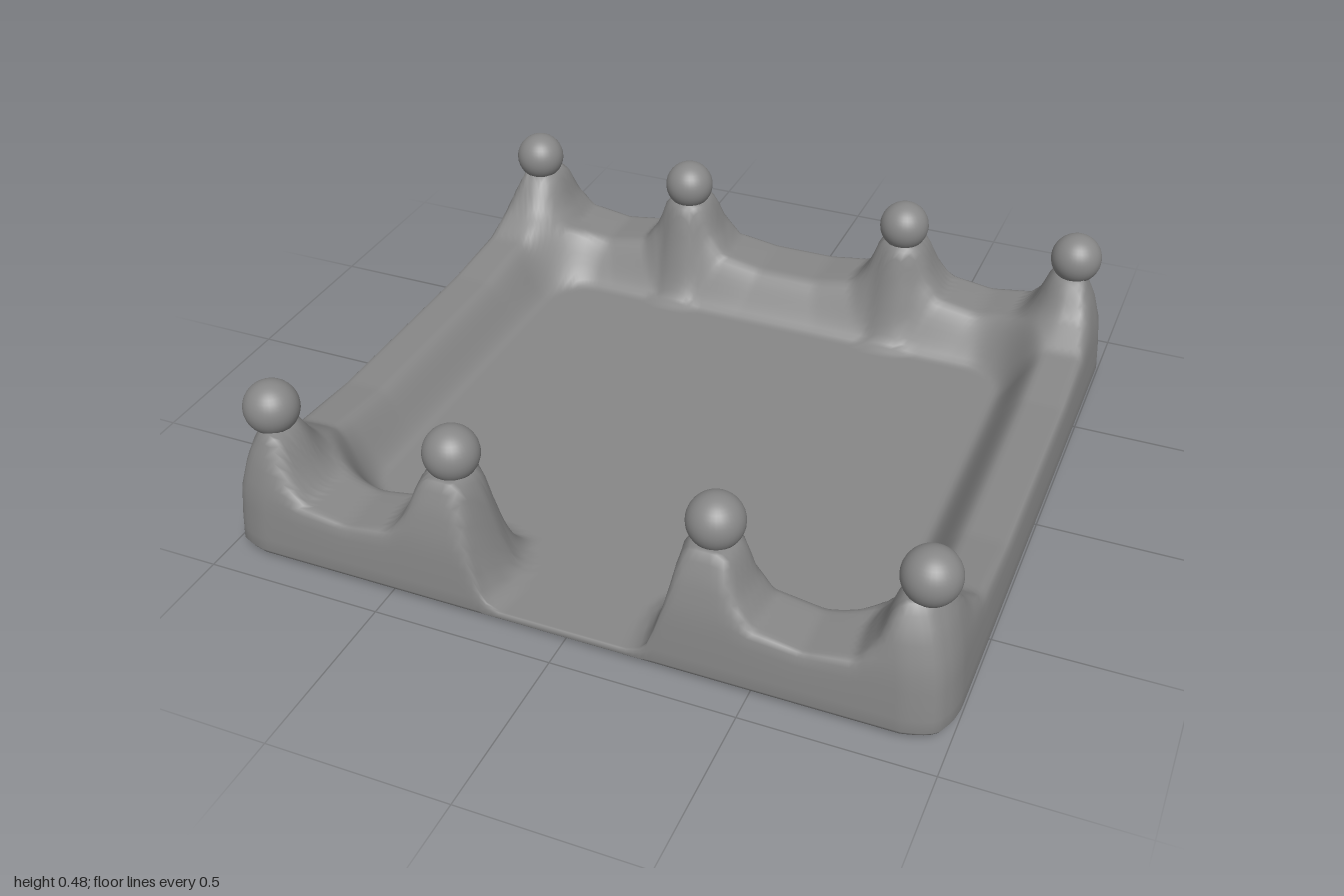
import * as THREE from 'three';

const material = new THREE.MeshStandardMaterial({ color: 0x878787 });
const HALF_X = 1, HALF_Z = 0.925, FLOOR = 0.04;
const POST_X = [-0.895, -0.36, 0.36, 0.895], POST_Z = 0.785;

// Piecewise linear profile: points are [distance, height]
function profile(points, t) {
  if (t <= points[0][0]) return points[0][1];
  for (let i = 1; i < points.length; i++) {
    const [a, ya] = points[i - 1], [b, yb] = points[i];
    if (t <= b) return ya + (yb - ya) * (t - a) / (b - a);
  }
  return points[points.length - 1][1];
}

// Minimum of two heights with a rounded transition
function softMin(a, b, k) {
  const h = Math.max(k - Math.abs(a - b), 0) / k;
  return Math.min(a, b) - h * h * k / 4;
}

// Outer face, wall crest beside a post, crest along a side wall, and a post's inner face
const OUTER = [[0, 0.03], [0.004, 0.1], [0.012, 0.19], [0.03, 0.27], [0.055, 0.345], [0.09, 0.6]];
const CREST = [[0.05, 0.36], [0.075, 0.335], [0.1, 0.26], [0.145, 0.195], [0.27, 0.172]];
const SIDE_CREST = [[0.05, 0.36], [0.075, 0.335], [0.12, 0.265], [0.22, 0.197], [0.46, 0.172]];
const POST = [[0.05, 0.36], [0.075, 0.335], [0.09, 0.26], [0.125, 0.12], [0.15, 0.06], [0.19, FLOOR]];

// How much a point belongs to the wall: 0 on the floor, 1 on the wall
function wallAmount(x, z) {
  const ax = Math.abs(x), az = Math.abs(z), r = 0.17;
  const qx = ax - (0.8 - r), qz = az - (0.67 - r);
  const d = Math.hypot(Math.max(qx, 0), Math.max(qz, 0)) + Math.min(Math.max(qx, qz), 0) - r;
  const wall = THREE.MathUtils.smoothstep(d, -0.055, 0.075);
  // Entrance gap in the front wall
  return z > 0 ? wall * THREE.MathUtils.smoothstep(ax, 0.2, 0.3) : wall;
}

// Height of the upper surface at a point lying d inside the outer edge
function topHeight(x, z, d) {
  let crest = 0.172, post = FLOOR;
  for (const px of POST_X) {
    const corner = Math.abs(px) > 0.5;
    let dx = (x - px) * Math.sign(px), dz = Math.abs(z) - POST_Z;
    // Posts spread out to the edge
    if (corner && dx > 0) dx *= 0.5;
    if (dz > 0) dz *= 0.5;
    const r = Math.hypot(dx, dz);
    // Corner posts slope more gently along the side walls
    const along = corner && dz < 0 ? dz * dz / (r * r) : 0;
    crest = Math.max(crest, THREE.MathUtils.lerp(profile(CREST, r), profile(SIDE_CREST, r), along));
    post = Math.max(post, profile(POST, r));
  }
  const y = Math.max(FLOOR + wallAmount(x, z) * (crest - FLOOR), post);
  return Math.max(softMin(y, profile(OUTER, d), 0.07), 0.025);
}

// Rectangular outline with softly chamfered corners, evenly sampled
function outline(count) {
  const x = HALF_X, z = HALF_Z, s = new THREE.Shape();
  const corner = [[x, z - 0.13], [x - 0.008, z - 0.08], [x - 0.03, z - 0.03], [x - 0.065, z - 0.012], [x - 0.11, z]];
  const flip = (sx, sz) => corner.map(([a, b]) => new THREE.Vector2(a * sx, b * sz));
  s.setFromPoints([
    ...flip(1, 1), ...flip(-1, 1).reverse(), ...flip(-1, -1), ...flip(1, -1).reverse(),
    new THREE.Vector2(...corner[0]),
  ]);
  return s.getSpacedPoints(count).slice(0, count);
}

// Closed body made of nested rings: underside, outer edge, then upper surface
function bodyGeometry() {
  const N = 400, points = outline(N), positions = [], index = [];
  const rings = [[HALF_Z, 0], [0.1, 0.005], [0.03, 0.012], [0.006, 0.018]];
  for (const d of [0, 0.002, 0.004, 0.008, 0.012, 0.02, 0.03, 0.042, 0.055]) rings.push([d, null]);
  for (let d = 0.067; d < 0.42; d += 0.0125) rings.push([d, null]);
  for (const d of [0.5, 0.65, 0.8, HALF_Z]) rings.push([d, null]);

  rings.forEach(([d, y], k) => {
    const sx = d === HALF_Z ? 0 : (HALF_X - d) / HALF_X;
    const sz = (HALF_Z - d) / HALF_Z;
    points.forEach((p, i) => {
      const x = p.x * sx, z = -p.y * sz;
      positions.push(x, y ?? topHeight(x, z, d), z);
      if (k === 0) return;
      const j = (i + 1) % N, a = (k - 1) * N, b = k * N;
      // The first and last rings are centre points, so they need one triangle per step
      if (k > 1) index.push(a + i, a + j, b + j);
      if (k < rings.length - 1) index.push(a + i, b + j, b + i);
    });
  });
  const g = new THREE.BufferGeometry();
  g.setAttribute('position', new THREE.Float32BufferAttribute(positions, 3));
  g.setIndex(index);
  g.computeVertexNormals();
  return g;
}

export function createModel() {
  const group = new THREE.Group();
  group.name = 'walledTray';

  const body = new THREE.Mesh(bodyGeometry(), material);
  body.name = 'trayBody';
  group.add(body);

  // Ball finials on the eight posts
  const ball = new THREE.SphereGeometry(0.075, 32, 20);
  for (const z of [-POST_Z, POST_Z]) {
    for (const x of POST_X) {
      const finial = new THREE.Mesh(ball, material);
      finial.name = 'postBall';
      finial.position.set(x, 0.405, z);
      group.add(finial);
    }
  }
  return group;
}
